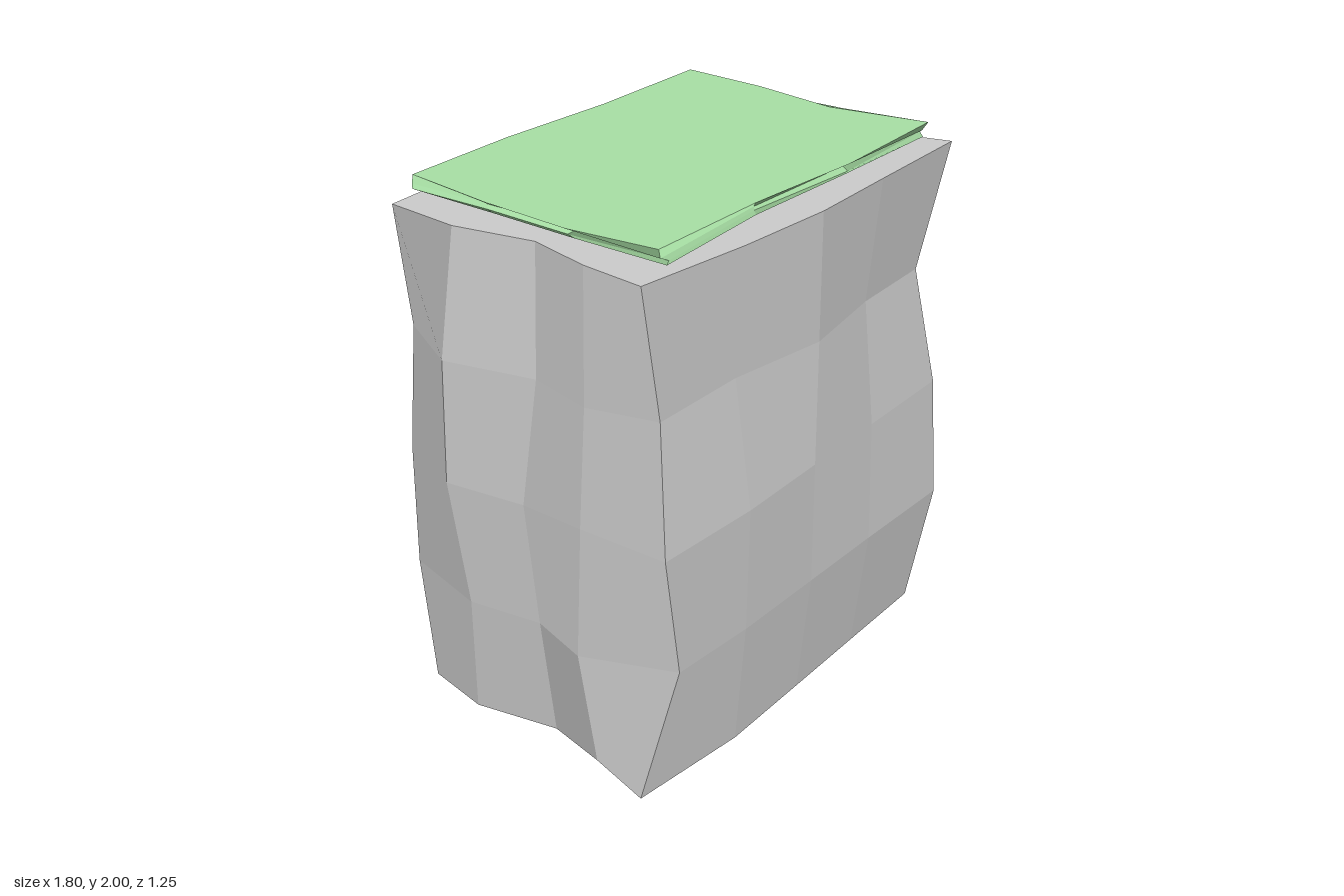
import * as THREE from 'three';

// Faceted block from stacked rings. Tables hold one row per level:
// left/right give x (front to back), front/back give z (left to right),
// cols/depths give the inner column positions of the faces.
function facetedBlock({ levels, cols, depths, left, right, front, back }, color) {
  const n = left[0].length;
  const rings = levels.map((y, r) => {
    const xs = (k) => [left[r][k], ...cols, right[r][k]];
    const zs = (k) => [front[r][k], ...depths[r], back[r][k]];
    const ring = [];
    for (let i = 0; i < n - 1; i++) ring.push([xs(0)[i], front[r][i]]);
    for (let j = 0; j < n - 1; j++) ring.push([right[r][j], zs(n - 1)[j]]);
    for (let i = n - 1; i > 0; i--) ring.push([xs(n - 1)[i], back[r][i]]);
    for (let j = n - 1; j > 0; j--) ring.push([left[r][j], zs(0)[j]]);
    return ring.map(([x, z]) => new THREE.Vector3(x, y, z));
  });

  const points = [];
  const normals = [];
  const add = (normal, ...corners) => corners.forEach((p) => {
    points.push(p);
    normals.push(normal.x, normal.y, normal.z);
  });

  // Side walls, one even shade per four-sided facet
  for (let r = 0; r < rings.length - 1; r++) {
    const lo = rings[r], hi = rings[r + 1];
    lo.forEach((a, i) => {
      const k = (i + 1) % lo.length;
      const b = lo[k], c = hi[k], d = hi[i];
      const normal = c.clone().sub(a).cross(d.clone().sub(b)).normalize();
      add(normal, a, b, d, b, c, d);
    });
  }

  // Flat caps
  const cap = (ring, up) => {
    const outline = ring.map((p) => new THREE.Vector2(p.x, -p.z));
    const normal = new THREE.Vector3(0, up ? 1 : -1, 0);
    for (const [a, b, c] of THREE.ShapeUtils.triangulateShape(outline, [])) {
      add(normal, ring[a], ring[up ? b : c], ring[up ? c : b]);
    }
  };
  cap(rings[0], false);
  cap(rings[rings.length - 1], true);

  const geometry = new THREE.BufferGeometry().setFromPoints(points);
  geometry.setAttribute('normal', new THREE.Float32BufferAttribute(normals, 3));
  return new THREE.Mesh(geometry, new THREE.MeshStandardMaterial({ color }));
}

export function createModel() {
  const model = new THREE.Group();
  model.name = 'grassyRockBlock';

  // Rock body: four courses, four facets per side
  const rock = facetedBlock({
    levels: [0, 0.48, 0.96, 1.44, 1.92],
    cols: [-0.41, 0, 0.39],
    depths: [
      [0.27, 0.03, -0.3],
      [0.26, 0.02, -0.27],
      [0.25, -0.01, -0.33],
      [0.3, 0.04, -0.31],
      [0.28, 0.03, -0.28],
    ],
    left: [
      [-0.9, -0.82, -0.76, -0.82, -0.76],
      [-0.77, -0.9, -0.82, -0.86, -0.76],
      [-0.86, -0.86, -0.85, -0.89, -0.76],
      [-0.82, -0.885, -0.82, -0.9, -0.745],
      [-0.875, -0.85, -0.79, -0.85, -0.825],
    ],
    right: [
      [0.81, 0.76, 0.85, 0.78, 0.84],
      [0.86, 0.875, 0.83, 0.82, 0.81],
      [0.845, 0.82, 0.865, 0.82, 0.86],
      [0.76, 0.77, 0.89, 0.85, 0.9],
      [0.875, 0.79, 0.785, 0.785, 0.855],
    ],
    front: [
      [0.53, 0.58, 0.57, 0.56, 0.55],
      [0.6, 0.62, 0.62, 0.62, 0.625],
      [0.61, 0.63, 0.62, 0.61, 0.6],
      [0.56, 0.56, 0.62, 0.56, 0.545],
      [0.53, 0.59, 0.62, 0.61, 0.6],
    ],
    back: [
      [-0.56, -0.59, -0.6, -0.59, -0.6],
      [-0.62, -0.59, -0.6, -0.6, -0.61],
      [-0.62, -0.59, -0.61, -0.59, -0.58],
      [-0.59, -0.6, -0.61, -0.61, -0.625],
      [-0.575, -0.59, -0.6, -0.61, -0.545],
    ],
  }, 0xcccccc);
  rock.name = 'rockBody';
  model.add(rock);

  // Thin grass slab hovering just above the rock
  const grass = facetedBlock({
    levels: [1.96, 1.973, 1.987, 2],
    cols: [-0.25, 0.25],
    depths: [[0.18, -0.18], [0.16, -0.19], [0.18, -0.2], [0.16, -0.19]],
    left: [
      [-0.77, -0.77, -0.76, -0.74],
      [-0.76, -0.78, -0.77, -0.78],
      [-0.79, -0.76, -0.76, -0.77],
      [-0.76, -0.8, -0.78, -0.73],
    ],
    right: [
      [0.75, 0.78, 0.78, 0.76],
      [0.76, 0.79, 0.79, 0.79],
      [0.74, 0.78, 0.76, 0.77],
      [0.8, 0.73, 0.78, 0.79],
    ],
    front: [
      [0.55, 0.52, 0.54, 0.55],
      [0.55, 0.51, 0.55, 0.53],
      [0.54, 0.51, 0.53, 0.55],
      [0.51, 0.515, 0.555, 0.54],
    ],
    back: [
      [-0.53, -0.55, -0.56, -0.52],
      [-0.52, -0.53, -0.565, -0.53],
      [-0.53, -0.56, -0.55, -0.52],
      [-0.565, -0.565, -0.53, -0.53],
    ],
  }, 0xa8e0a5);
  grass.name = 'grassTop';
  model.add(grass);

  return model;
}
